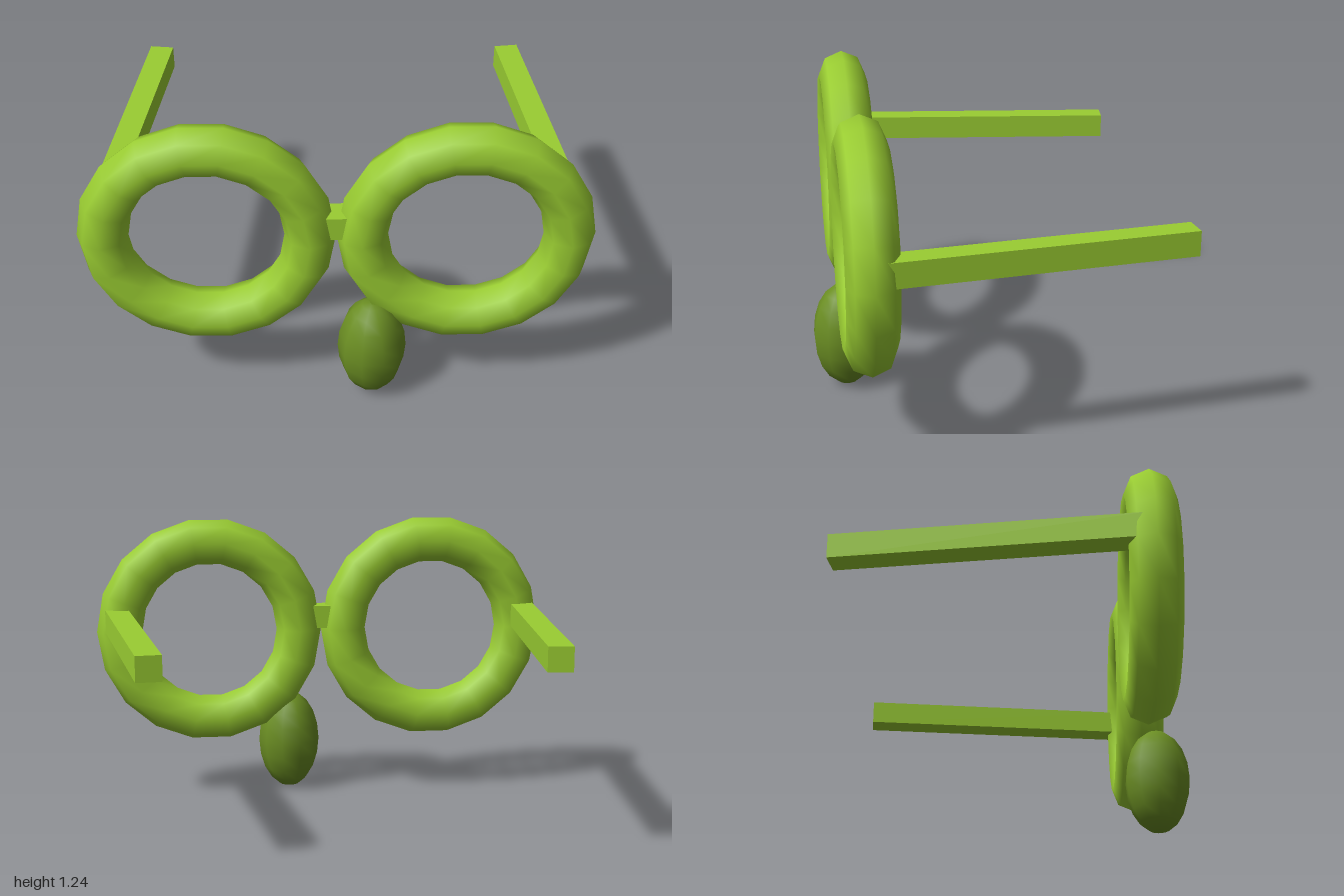
import * as THREE from 'three';

export function createModel() {
  const group = new THREE.Group();
  const rimMat = new THREE.MeshStandardMaterial({ color: 0x9acd32 });
  const dropMat = new THREE.MeshStandardMaterial({ color: 0x6b8e23 });

  const add = (name, geometry, material, x, y, z) => {
    const mesh = new THREE.Mesh(geometry, material);
    mesh.name = name;
    mesh.position.set(x, y, z);
    group.add(mesh);
    return mesh;
  };

  // Round rims and the temple arms, which close in towards the back
  const rim = new THREE.TorusGeometry(0.4, 0.1, 8, 18);
  const arm = new THREE.BoxGeometry(0.1, 0.1, 1.2);
  for (const [side, s] of [['left', 1], ['right', -1]]) {
    add(side + 'Rim', rim, rimMat, s * 0.5, 0.75, 0.515);
    add(side + 'Arm', arm, rimMat, s * 0.842, 0.807, -0.104).rotation.y = s * 0.12;
  }

  // Bridge between the rims
  add('bridge', new THREE.BoxGeometry(0.2, 0.1, 0.1), rimMat, 0, 0.807, 0.515);

  // Egg-shaped drop hanging under the left rim
  const drop = add('drop', new THREE.SphereGeometry(1, 10, 10), dropMat, 0.142, 0.228, 0.575);
  drop.scale.set(0.137, 0.223, 0.137);

  return group;
}
